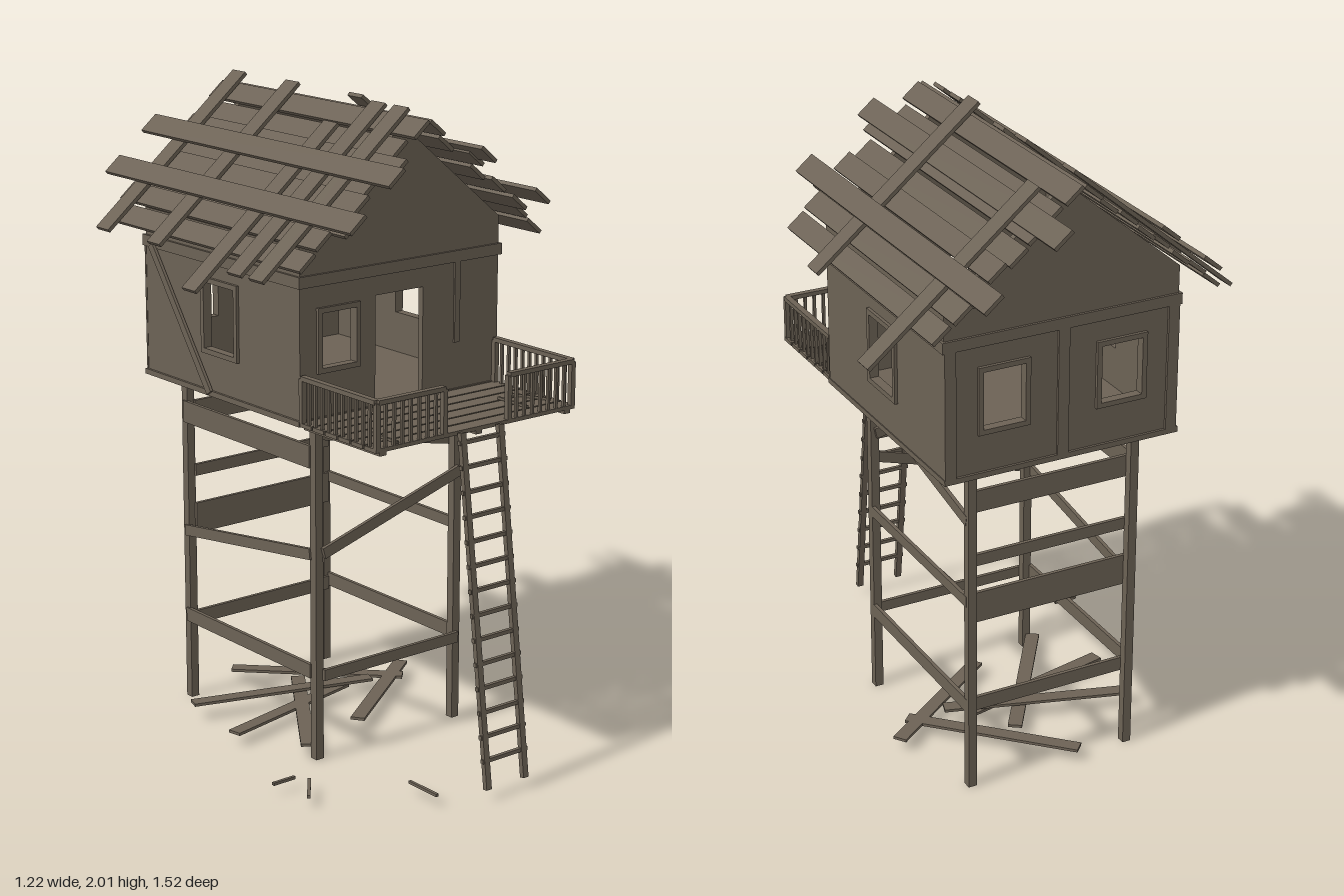
import * as THREE from 'three';

export function createModel() {
  const wood = new THREE.MeshStandardMaterial({ color: 0x6c6255 });
  wood.name = 'weathered wood';
  const model = new THREE.Group();
  model.name = 'treehouse';
  const V = (x, y, z) => new THREE.Vector3(x, y, z);
  const UP = V(0, 1, 0), SIDE = V(1, 0, 0), FRONT = V(0, 0, 1);

  const group = (name) => {
    const g = new THREE.Group();
    g.name = name;
    model.add(g);
    return g;
  };
  const add = (parent, name, geo) => {
    const m = new THREE.Mesh(geo, wood);
    m.name = name;
    parent.add(m);
    return m;
  };
  // Box given by its minimum and maximum corners
  const box = (parent, name, x0, x1, y0, y1, z0, z1) => {
    const m = add(parent, name, new THREE.BoxGeometry(x1 - x0, y1 - y0, z1 - z0));
    m.position.set((x0 + x1) / 2, (y0 + y1) / 2, (z0 + z1) / 2);
    return m;
  };
  // Plank from a to b whose thickness runs along normal n
  const board = (parent, name, a, b, width, thick, n) => {
    const m = add(parent, name, new THREE.BoxGeometry(a.distanceTo(b), thick, width));
    const along = b.clone().sub(a).normalize();
    const across = along.clone().cross(n).normalize();
    const normal = across.clone().cross(along);
    m.quaternion.setFromRotationMatrix(new THREE.Matrix4().makeBasis(along, normal, across));
    m.position.copy(a).add(b).multiplyScalar(0.5);
    return m;
  };
  const rect = (x0, x1, y0, y1) => [[x0, y0], [x1, y0], [x1, y1], [x0, y1]].map((p) => new THREE.Vector2(...p));
  // Flat panel with rectangular holes; sideways panels use z as their horizontal axis
  const panel = (parent, name, pts, holes, depth, at, sideways) => {
    const shape = new THREE.Shape(pts);
    holes.forEach((h) => shape.holes.push(new THREE.Path(rect(...h))));
    const geo = new THREE.ExtrudeGeometry(shape, { depth, bevelEnabled: false });
    if (sideways) geo.rotateY(-Math.PI / 2).translate(at + depth, 0, 0);
    else geo.translate(0, 0, at);
    return add(parent, name, geo);
  };
  const frame = (parent, [x0, x1, y0, y1], depth, at, sideways) =>
    panel(parent, 'windowFrame', rect(x0 - 0.016, x1 + 0.016, y0 - 0.016, y1 + 0.016), [[x0, x1, y0, y1]], depth, at, sideways);

  // Stilts
  const tower = group('tower');
  const LX = 0.27, ZF = 0.19, ZB = -0.47;
  for (const x of [-LX - 0.01, LX - 0.005])
    for (const z of [ZF, ZB]) box(tower, 'leg', x - 0.014, x + 0.014, 0, 1.1, z - 0.014, z + 0.014);

  // Braces: [height at one end, height at other end, width]
  const braceX = (z, list) => list.forEach(([l, r, w]) =>
    board(tower, 'crossBrace', V(-LX, l, z), V(LX - 0.005, r, z), w, 0.012, FRONT));
  const braceZ = (x, list) => list.forEach(([f, b, w]) =>
    board(tower, 'sideBrace', V(x, f, ZF - 0.01), V(x, b, ZB), w, 0.012, SIDE));
  braceX(ZF - 0.018, [[1.03, 0.92, 0.035]]);
  braceX(ZF + 0.02, [[0.665, 0.825, 0.035], [0.275, 0.275, 0.035]]);
  braceX(ZB + 0.018, [[0.965, 0.965, 0.07], [0.77, 0.77, 0.038], [0.61, 0.61, 0.1], [0.275, 0.275, 0.045]]);
  braceZ(LX + 0.004, [[1.045, 0.915, 0.035], [0.645, 0.645, 0.035], [0.285, 0.285, 0.045]]);
  braceZ(-LX - 0.024, [[0.965, 0.965, 0.07], [0.66, 0.57, 0.035], [0.285, 0.285, 0.045]]);

  // Cabin shell
  const cabin = group('cabin');
  const W = 0.382, F = 0.245, B = -0.535, Y0 = 1.1, EAVE = 1.62, T = 0.02;
  const gable = [[-W, Y0], [W, Y0], [W, EAVE], [0, 1.937], [-W, EAVE]].map((p) => new THREE.Vector2(...p));
  const doorway = [[-W, Y0], [-0.1, Y0], [-0.1, 1.44], [0.083, 1.44], [0.083, Y0], [W, Y0], [W, EAVE], [0, 1.937], [-W, EAVE]]
    .map((p) => new THREE.Vector2(...p));
  const frontWin = [-0.305, -0.178, 1.253, 1.418];
  const backWins = [[-0.26, -0.125, 1.24, 1.42], [0.125, 0.26, 1.24, 1.42]];
  const sideWin = [-0.22, -0.068, 1.235, 1.44];
  box(cabin, 'floor', -0.39, 0.385, 1.088, 1.105, B - 0.008, F + 0.005);
  panel(cabin, 'frontWall', doorway, [frontWin], T, F - T);
  panel(cabin, 'backWall', gable, backWins, T, B);
  for (const s of [-1, 1]) {
    panel(cabin, 'sideWall', rect(B + T, F - T, Y0, EAVE), [sideWin], T, s > 0 ? W - T : -W, true);
    frame(cabin, sideWin, 0.01, s > 0 ? W : -W - 0.01, true);
    box(cabin, 'sideTrim', s * W - 0.008, s * W + 0.008, 1.5, 1.535, B - 0.008, F + 0.008);
    box(cabin, 'backCornerTrim', s * 0.365 - 0.018, s * 0.365 + 0.018, Y0, 1.5, B - 0.008, B);
  }
  frame(cabin, frontWin, 0.01, F);
  backWins.forEach((w) => frame(cabin, w, 0.01, B - 0.01));
  for (const z of [F, B - 0.008]) box(cabin, 'gableTrim', -W - 0.008, W + 0.008, 1.5, 1.535, z, z + 0.008);
  box(cabin, 'backMiddleTrim', -0.018, 0.018, Y0, 1.5, B - 0.008, B);
  box(cabin, 'frontTrim', 0.205, 0.226, 1.25, 1.5, F, F + 0.006);
  board(cabin, 'looseBoard', V(-W - 0.012, 1.51, -0.49), V(-W - 0.012, 1.1, -0.19), 0.025, 0.01, SIDE);

  // Roof: positions follow the slope at distance x from the ridge, lifted by h
  const roof = group('roof');
  const SLOPE = 0.83;
  const onRoof = (x, h, z, s) => V(s * x, 1.957 + h - SLOPE * x, z);
  const frontEnds = [0.37, 0.34, 0.41, 0.35, 0.38, 0.41, 0.35, 0.35];
  for (const s of [-1, 1]) {
    const n = V(s * SLOPE, 1, 0).normalize();
    const lengthwise = (name, x, h, z0, z1, w) => board(roof, name, onRoof(x, h, z0, s), onRoof(x, h, z1, s), w, 0.012, n);
    const downSlope = (z, x0, x1) =>
      board(roof, 'slopeBoard', onRoof(x0, 0.03, z, s), onRoof(x1, 0.03, z, s), 0.066, 0.012, n);
    frontEnds.forEach((end, i) =>
      lengthwise('roofPlank', 0.03 + i * 0.0575, i % 2 ? 0 : 0.008, i % 3 === 1 ? -0.625 : -0.64, end, 0.07));
    if (s > 0) {
      downSlope(0.047, -0.018, 0.515);
      downSlope(-0.482, 0.07, 0.603);
      lengthwise('longBoard', 0.127, 0.016, -0.755, 0.485, 0.072);
      lengthwise('longBoard', 0.34, 0.046, -0.755, 0.485, 0.072);
    } else {
      downSlope(-0.573, -0.013, 0.515);
      downSlope(-0.297, -0.013, 0.515);
      downSlope(0.012, 0.08, 0.605);
      downSlope(0.138, 0, 0.535);
      downSlope(0.243, 0, 0.535);
      lengthwise('longBoard', 0.345, 0.046, -0.765, 0.47, 0.072);
      lengthwise('longBoard', 0.205, 0.046, -0.765, 0.47, 0.072);
    }
  }

  // Balcony deck and railings
  const balcony = group('balcony');
  for (let i = 0; i < 6; i++)
    box(balcony, 'deckBoard', -0.388, 0.378, 1.09, 1.102, 0.252 + i * 0.0595, 0.305 + i * 0.0595);
  for (const x of [-0.36, 0, 0.35]) box(balcony, 'deckJoist', x - 0.012, x + 0.012, 1.078, 1.09, 0.25, 0.6);
  const railing = (x0, z0, x1, z1, count) => {
    board(balcony, 'topRail', V(x0, 1.237, z0), V(x1, 1.237, z1), 0.02, 0.014, UP);
    for (let i = 0; i <= count; i++) {
      const t = i / count, x = x0 + (x1 - x0) * t, z = z0 + (z1 - z0) * t;
      const r = i === 0 || i === count ? 0.008 : 0.0045;
      box(balcony, 'baluster', x - r, x + r, 1.1, 1.235, z - r, z + r);
    }
  };
  railing(-0.38, 0.597, -0.132, 0.597, 8);
  railing(0.115, 0.597, 0.368, 0.597, 8);
  railing(-0.38, 0.255, -0.38, 0.597, 11);
  railing(0.368, 0.255, 0.368, 0.597, 11);
  board(balcony, 'fallenStick', V(-0.305, 1.108, 0.48), V(-0.305, 1.108, 0.6), 0.008, 0.008, UP);
  board(balcony, 'fallenStick', V(0.235, 1.108, 0.42), V(0.235, 1.108, 0.55), 0.008, 0.008, UP);
  board(balcony, 'fallenStick', V(0.29, 1.108, 0.41), V(0.345, 1.108, 0.53), 0.008, 0.008, UP);

  // Ladder
  const ladder = group('ladder');
  const top = V(0, 1.1, 0.617), foot = V(0, 0.035, 0.752);
  for (const x of [-0.081, 0.065])
    board(ladder, 'ladderRail', foot.clone().setX(x), top.clone().setX(x), 0.02, 0.016, FRONT);
  for (let i = 0; i < 14; i++) {
    const p = foot.clone().lerp(top, (i + 1.2) / 14.6);
    board(ladder, 'rung', V(-0.096, p.y, p.z), V(0.08, p.y, p.z), 0.012, 0.012, FRONT);
  }

  // Fallen planks below the tower, then small sticks: [x0, z0, x1, z1, y, width]
  const debris = group('debris');
  [
    [-0.42, -0.05, 0.1, -0.16, 0.04, 0.045],
    [-0.3, 0.17, 0.02, -0.3, 0.04, 0.045],
    [-0.05, 0.1, 0.375, -0.2, 0.04, 0.045],
    [-0.1, -0.5, 0.3, -0.1, 0.04, 0.045],
    [-0.4, -0.3, 0.18, -0.12, 0.055, 0.045],
    [-0.555, 0.33, -0.475, 0.33, 0.037, 0.01],
    [-0.45, 0.37, -0.53, 0.47, 0.037, 0.01],
    [-0.228, 0.57, -0.228, 0.695, 0.037, 0.01],
  ].forEach(([x0, z0, x1, z1, y, w]) =>
    board(debris, w > 0.02 ? 'fallenPlank' : 'fallenStick', V(x0, y, z0), V(x1, y, z1), w, 0.009, UP));

  return model;
}
